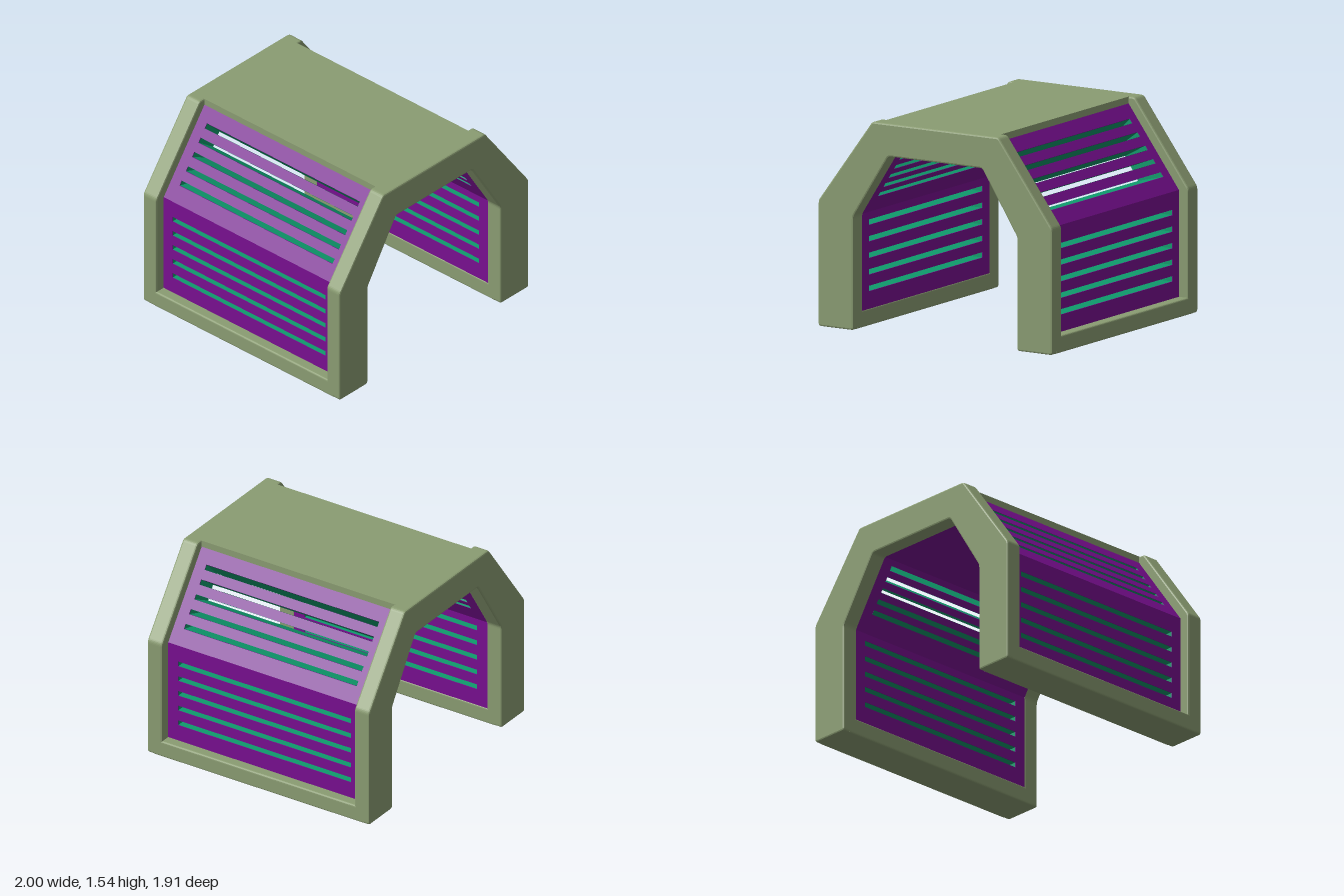
import * as THREE from 'three';

const GREEN = new THREE.MeshStandardMaterial({ color: 0x8a9c72 });
const PURPLE = new THREE.MeshStandardMaterial({ color: 0x780f90 });
const TEAL = new THREE.MeshStandardMaterial({ color: 0x0f9a6c, side: THREE.DoubleSide });

const DEPTH = 0.957;       // half depth of the whole arch
const BAY = 0.83;          // half depth of the bay between the end frames
const SLOT = 0.745;        // half length of a vent slot
const COUNT = 5;           // slots per panel

function mesh(name, geometry, material) {
  const m = new THREE.Mesh(geometry, material);
  m.name = name;
  return m;
}

// Polygon with each corner rounded by radius r
function roundedShape(points, r) {
  const p = points.map(([x, y]) => new THREE.Vector2(x, y));
  const toward = (a, b) => a.clone().add(b.clone().sub(a).setLength(r));
  const shape = new THREE.Shape();
  p.forEach((c, i) => {
    const from = toward(c, p[(i + p.length - 1) % p.length]);
    const to = toward(c, p[(i + 1) % p.length]);
    if (i) shape.lineTo(from.x, from.y);
    else shape.moveTo(from.x, from.y);
    shape.quadraticCurveTo(c.x, c.y, to.x, to.y);
  });
  shape.closePath();
  return shape;
}

// Straight prism along z with a polygon section
function prism(points, z0, z1) {
  const shape = new THREE.Shape(points.map(([x, y]) => new THREE.Vector2(x, y)));
  const g = new THREE.ExtrudeGeometry(shape, { depth: z1 - z0, bevelEnabled: false });
  return g.translate(0, 0, z0);
}

const mix = (a, b, t) => [a[0] + (b[0] - a[0]) * t, a[1] + (b[1] - a[1]) * t];

// Four inner walls of one slot, set slightly inside the opening
function slotLining(lo, hi) {
  const e = 0.04;
  const section = [
    mix(lo.out, hi.out, e), mix(lo.inn, hi.inn, e),
    mix(hi.inn, lo.inn, e), mix(hi.out, lo.out, e)
  ].map((q, i, all) => mix(q, all[i ^ 1], 0.01));
  const z = SLOT - 0.002;
  const v = [];
  for (const s of [-z, z]) for (const [x, y] of section) v.push(x, y, s);
  const quads = [[0, 1, 5, 4], [3, 7, 6, 2], [0, 3, 2, 1], [4, 5, 6, 7]];
  const g = new THREE.BufferGeometry();
  g.setAttribute('position', new THREE.Float32BufferAttribute(v, 3));
  g.setIndex(quads.flatMap(([a, b, c, d]) => [a, b, c, a, c, d]));
  const flat = g.toNonIndexed();
  flat.computeVertexNormals();
  return flat;
}

// Slotted panels of one side, from the sill up to the roof
function sidePanels(side) {
  const group = new THREE.Group();
  group.name = side > 0 ? 'leftVentPanels' : 'rightVentPanels';
  const outFoot = [0.92, 0.12], outKnee = [0.92, 0.905], outTop = [0.49, 1.49];
  const innFoot = [0.704, 0.12], innKnee = [0.704, 0.83], innTop = [0.402, 1.304];
  const flip = ([x, y]) => [x * side, y];

  // Pairs of edges that bound the slots, from bottom to top
  const slots = [];
  for (let i = 0; i < COUNT; i++) {
    const y = 0.27 + 0.121 * i;
    const level = (h) => ({ out: [0.92, h], inn: [0.704, h] });
    slots.push([level(y - 0.02), level(y + 0.02)]);
  }
  for (let i = 0; i < COUNT; i++) {
    const edge = (k) => ({
      out: mix(outKnee, outTop, 0.2 + 0.155 * i + k * 0.027),
      inn: mix(innKnee, innTop, 0.29 + 0.15 * i + k * 0.033)
    });
    slots.push([edge(-1), edge(1)]);
  }

  // Slats between the slots; the middle one wraps round the knee
  let last = { out: outFoot, inn: innFoot };
  slots.forEach(([lo, hi], i) => {
    const bend = i === COUNT;
    const section = [
      last.inn, last.out, ...(bend ? [outKnee] : []),
      lo.out, lo.inn, ...(bend ? [innKnee] : [])
    ];
    group.add(mesh('slat', prism(section.map(flip), -SLOT, SLOT), PURPLE));
    group.add(mesh('slotLining', slotLining(
      { out: flip(lo.out), inn: flip(lo.inn) },
      { out: flip(hi.out), inn: flip(hi.inn) }), TEAL));
    last = hi;
  });
  group.add(mesh('topSlat', prism([last.inn, last.out, outTop, innTop].map(flip), -SLOT, SLOT), PURPLE));

  // Solid margins beyond the slot ends
  const whole = [innFoot, outFoot, outKnee, outTop, innTop, innKnee].map(flip);
  const end = BAY + 0.015;
  group.add(mesh('frontMargin', prism(whole, SLOT, end), PURPLE));
  group.add(mesh('backMargin', prism(whole, -end, -SLOT), PURPLE));
  return group;
}

export function createModel() {
  const model = new THREE.Group();
  model.name = 'ventedArch';

  // Front and back arch frames
  const half = [[0.7, 0], [1, 0], [1, 0.92], [0.54, 1.54]];
  const halfInner = [[0.4, 1.3], [0.7, 0.83]];
  const mirror = (list) => list.map(([x, y]) => [-x, y]).reverse();
  const arch = [...half, ...mirror(half), ...mirror(halfInner), ...halfInner];
  const bevel = 0.012;
  const frame = new THREE.ExtrudeGeometry(roundedShape(arch, 0.02), {
    depth: DEPTH - BAY - 2 * bevel, bevelThickness: bevel, bevelSize: bevel,
    bevelOffset: -bevel, bevelSegments: 2, curveSegments: 4
  });
  const mid = -(DEPTH - BAY - 2 * bevel) / 2;
  frame.translate(0, 0, mid);
  for (const s of [1, -1]) {
    const m = mesh(s > 0 ? 'frontFrame' : 'backFrame', frame, GREEN);
    m.position.z = s * (DEPTH + BAY) / 2;
    model.add(m);
  }

  // Floor sills, one under each side
  for (const s of [1, -1]) {
    const shape = roundedShape([[0.7, 0], [1, 0], [1, 0.125], [0.7, 0.125]].map(([x, y]) => [x * s, y]), 0.015);
    const sill = new THREE.ExtrudeGeometry(shape, { depth: 1.8, bevelEnabled: false, curveSegments: 4 });
    model.add(mesh(s > 0 ? 'leftSill' : 'rightSill', sill.translate(0, 0, -0.9), GREEN));
    model.add(sidePanels(s));
  }

  // Roof slab and the ceiling lining below it
  model.add(mesh('roof', prism([[-0.49, 1.48], [0.49, 1.48], [0.49, 1.54], [-0.49, 1.54]], -0.9, 0.9), GREEN));
  const ceiling = [[-0.402, 1.304], [0.402, 1.304], [0.485, 1.482], [-0.485, 1.482]];
  model.add(mesh('ceiling', prism(ceiling, -BAY - 0.015, BAY + 0.015), PURPLE));

  return model;
}
